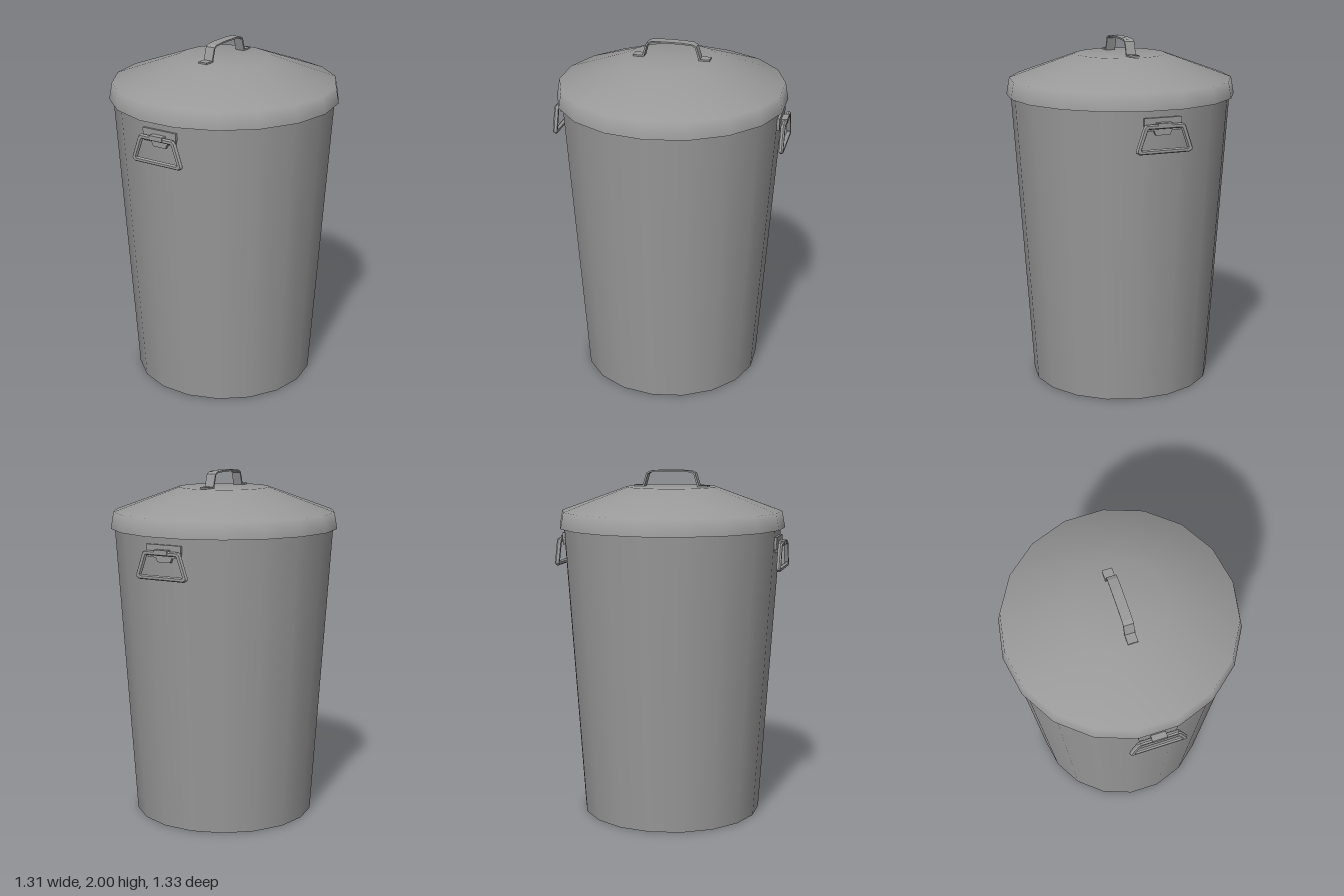
import * as THREE from 'three';

const SIDES = 18;
const metal = new THREE.MeshStandardMaterial({ color: 0x999999, side: THREE.DoubleSide });
const flatMetal = new THREE.MeshStandardMaterial({ color: 0x999999, flatShading: true });

function add(parent, name, geometry, material) {
  const mesh = new THREE.Mesh(geometry, material);
  mesh.name = name;
  parent.add(mesh);
  return mesh;
}

// Surface of revolution with corners on the x axis and flats facing +z and -z
function turned(points) {
  return new THREE.LatheGeometry(points.map(p => new THREE.Vector2(...p)), SIDES, Math.PI / 2);
}

function polygon(points, Type = THREE.Shape) {
  return new Type(points.map(p => new THREE.Vector2(...p)));
}

function mirrored(half) {
  return [...half, ...half.map(([x, y]) => [-x, y]).reverse()];
}

// Carrying handle: fixing plate, strap over the wire and hanging bail
function sideHandle() {
  const handle = new THREE.Group();

  const plate = polygon(mirrored([
    [0.04, 1.54], [0.052, 1.565], [0.1, 1.565], [0.108, 1.6], [0.108, 1.635],
  ]));
  const plateGeometry = new THREE.ExtrudeGeometry(plate, { depth: 0.026, bevelEnabled: false });
  add(handle, 'handlePlate', plateGeometry.translate(0, 0, 0.605), flatMetal);

  const strap = new THREE.BoxGeometry(0.084, 0.026, 0.036);
  add(handle, 'handleStrap', strap.translate(0, 1.597, 0.647), flatMetal);

  const bail = polygon(mirrored([
    [0.142, 1.451], [0.156, 1.46], [0.156, 1.47], [0.115, 1.589], [0.104, 1.598],
  ]));
  bail.holes.push(polygon(mirrored([
    [0.132, 1.464], [0.139, 1.472], [0.1, 1.581], [0.095, 1.584],
  ]), THREE.Path));
  const bailGeometry = new THREE.ExtrudeGeometry(bail, {
    depth: 0.006, bevelThickness: 0.009, bevelSize: 0.006, bevelSegments: 1,
  });
  add(handle, 'handleBail', bailGeometry.translate(0, 0, 0.648), flatMetal);
  return handle;
}

// Bent metal strip running along z over the lid
function lidHandle() {
  const outer = mirrored([
    [0.218, 1.914], [0.165, 1.914], [0.143, 1.984], [0.12, 1.995], [0.06, 2],
  ]);
  const inner = mirrored([
    [0.218, 1.903], [0.157, 1.903], [0.135, 1.977], [0.117, 1.987], [0.06, 1.991],
  ]);
  const strip = polygon([...outer, ...inner.reverse()]);
  const geometry = new THREE.ExtrudeGeometry(strip, { depth: 0.056, bevelEnabled: false });
  return geometry.translate(0, 0, -0.028).rotateY(Math.PI / 2);
}

export function createModel() {
  const model = new THREE.Group();
  model.name = 'bin';

  // Tapered body with closed base
  add(model, 'body', turned([[0.52, 0], [0.632, 1.7]]), metal);
  add(model, 'base', turned([[0, 0], [0.52, 0]]), metal);

  // Domed lid with a skirt and a rim underneath
  add(model, 'lid', turned([[0.654, 1.674], [0.637, 1.768], [0.26, 1.905], [0, 1.905]]), metal);
  add(model, 'lidRim', turned([[0.61, 1.674], [0.654, 1.674]]), metal);
  add(model, 'lidHandle', lidHandle(), flatMetal);

  // Matching handles on the front and back
  ['frontHandle', 'backHandle'].forEach((name, i) => {
    const handle = sideHandle();
    handle.name = name;
    handle.rotation.y = i * Math.PI;
    handle.position.x = 0.004;
    model.add(handle);
  });
  return model;
}
